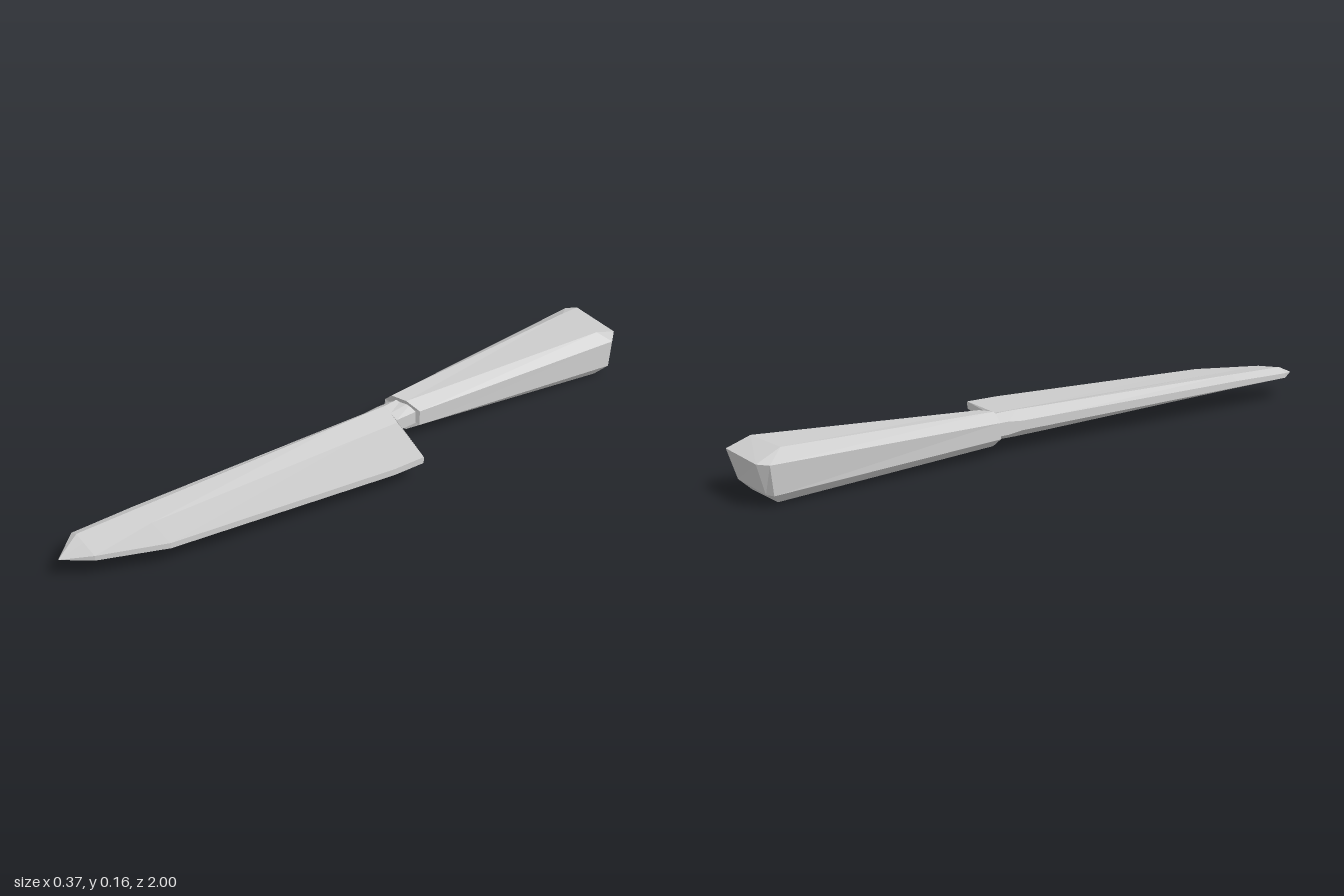
import * as THREE from 'three';

// Skin a list of equal-length rings (clockwise seen from +z, ordered toward +z) and cap both ends
function loft(rings) {
  const pos = [];
  const tri = (...pts) => pts.forEach((p) => pos.push(...p));
  const n = rings[0].length;
  for (let i = 0; i < rings.length - 1; i++) {
    for (let j = 0; j < n; j++) {
      const k = (j + 1) % n;
      const [a, b, c, d] = [rings[i][j], rings[i][k], rings[i + 1][k], rings[i + 1][j]];
      tri(a, c, b);
      tri(a, d, c);
    }
  }
  const first = rings[0], last = rings[rings.length - 1];
  for (let j = 1; j < n - 1; j++) {
    tri(first[0], first[j], first[j + 1]);
    tri(last[0], last[j + 1], last[j]);
  }
  const geo = new THREE.BufferGeometry();
  geo.setAttribute('position', new THREE.Float32BufferAttribute(pos, 3));
  geo.computeVertexNormals();
  return geo;
}

// Blade ring from four [x, z, yTop, yBottom] stations: spine, ridge, middle, edge
function bladeRing(stations) {
  const top = stations.map(([x, z, t]) => [x, t, z]);
  const bottom = stations.map(([x, z, , b]) => [x, b, z]).reverse();
  return [...top, ...bottom];
}

export function createModel() {
  const steel = new THREE.MeshStandardMaterial({ color: 0xcccccc, flatShading: true });
  steel.name = 'grey';
  const group = new THREE.Group();
  group.name = 'kitchenKnife';
  const add = (name, rings) => {
    const mesh = new THREE.Mesh(loft(rings), steel);
    mesh.name = name;
    group.add(mesh);
  };

  // Handle: slanted butt plate, wide octagon, narrow octagon
  const TL = [-0.165, 0.13, -1], TR = [0.02, 0.13, -0.995];
  const BR = [0.02, 0.037, -0.962], BL = [-0.155, 0.037, -0.968];
  add('handle', [
    [TL, TL, TR, TR, BR, BR, BL, BL],
    [
      [-0.187, 0.127, -0.97], [-0.13, 0.155, -0.907], [0.022, 0.155, -0.918], [0.057, 0.125, -0.955],
      [0.057, 0.038, -0.945], [0.022, 0, -0.92], [-0.14, 0.005, -0.925], [-0.178, 0.037, -0.955],
    ],
    [
      [-0.12, 0.105, -0.187], [-0.09, 0.133, -0.19], [-0.042, 0.13, -0.21], [0, 0.107, -0.23],
      [0, 0.058, -0.23], [-0.04, 0.03, -0.21], [-0.085, 0.028, -0.19], [-0.12, 0.056, -0.187],
    ],
  ]);

  // Blade: neck, heel step, long taper and pointed tip
  const tip = [-0.035, 1, 0.07, 0.07];
  add('blade', [
    [[-0.105, -0.24, 0.1, 0.06], [-0.085, -0.24, 0.12, 0.042], [-0.045, -0.24, 0.12, 0.042], [-0.015, -0.24, 0.1, 0.06]],
    [[-0.105, -0.15, 0.1, 0.06], [-0.07, -0.15, 0.121, 0.04], [-0.04, -0.15, 0.111, 0.05], [-0.01, -0.15, 0.101, 0.06]],
    [[-0.105, -0.1, 0.095, 0.066], [-0.07, -0.1, 0.121, 0.04], [0, -0.145, 0.1, 0.061], [0.183, -0.105, 0.091, 0.07]],
    [[-0.105, 0, 0.095, 0.067], [-0.07, 0, 0.119, 0.042], [0, 0, 0.1, 0.062], [0.183, 0, 0.091, 0.07]],
    [[-0.102, 0.72, 0.094, 0.074], [-0.07, 0.72, 0.108, 0.061], [0, 0.72, 0.097, 0.068], [0.105, 0.72, 0.09, 0.072]],
    [[-0.1, 0.92, 0.09, 0.075], [-0.07, 0.92, 0.104, 0.067], [-0.03, 0.92, 0.097, 0.069], [0.03, 0.92, 0.088, 0.072]],
    [tip, tip, tip, tip],
  ].map(bladeRing));

  return group;
}
